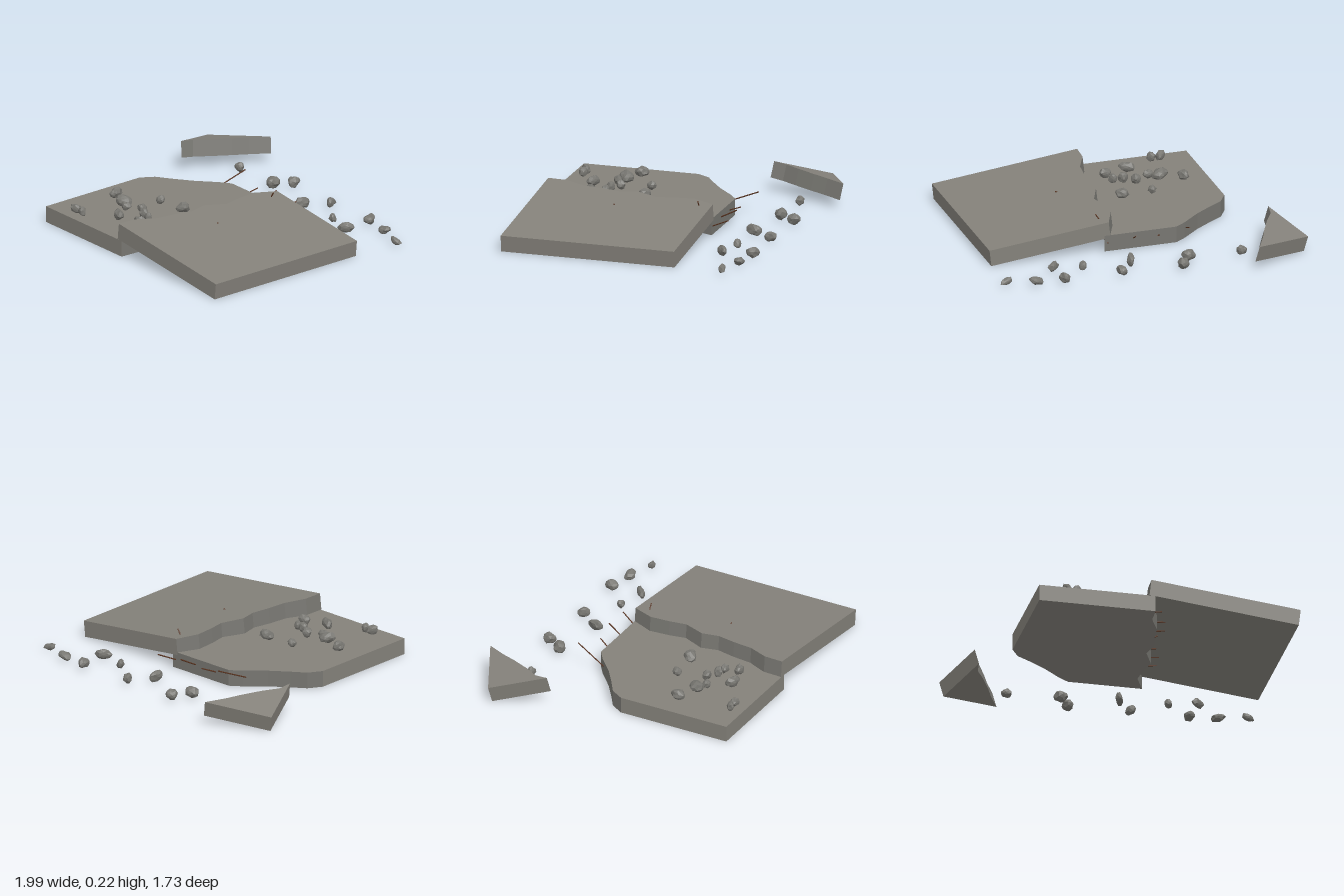
import * as THREE from 'three';

const concrete = new THREE.MeshStandardMaterial({ color: 0x84817a });
concrete.name = 'concrete';
const brokenConcrete = new THREE.MeshStandardMaterial({ color: 0x777671 });
brokenConcrete.name = 'broken concrete';
const rust = new THREE.MeshStandardMaterial({ color: 0x5a3420 });
rust.name = 'rusty steel';
brokenConcrete.flatShading = true;

// Prism from an [x, z] outline: the top follows top(x, z), the bottom is shifted by drop.
// Side walls whose two ends both lie in the broken list get the broken colour.
function slab(name, outline, broken, top, drop) {
  const shape = new THREE.Shape(outline.map(([x, z]) => new THREE.Vector2(x, -z)));
  const geo = new THREE.ExtrudeGeometry(shape, { depth: 1, bevelEnabled: false });
  geo.rotateX(-Math.PI / 2);
  const pos = geo.attributes.position;
  const isBroken = (i) => broken.some(([x, z]) => Math.hypot(pos.getX(i) - x, pos.getZ(i) - z) < 1e-4);
  const walls = geo.groups[1];
  geo.clearGroups();
  geo.addGroup(0, walls.start, 0);
  for (let i = walls.start; i < pos.count; i += 6) {
    const rough = [0, 1, 2, 3, 4, 5].every((k) => isBroken(i + k));
    geo.addGroup(i, 6, rough ? 1 : 0);
  }
  for (let i = 0; i < pos.count; i++) {
    const x = pos.getX(i), z = pos.getZ(i), down = 1 - pos.getY(i);
    pos.setXYZ(i, x + drop[0] * down, top(x, z) + drop[1] * down, z + drop[2] * down);
  }
  geo.computeVertexNormals();
  const mesh = new THREE.Mesh(geo, [concrete, brokenConcrete]);
  mesh.name = name;
  return mesh;
}

// Angular stone with its lowest point on the given floor height
function stone([x, z, rx, ry, rz, yaw], floor, seed) {
  const geo = new THREE.IcosahedronGeometry(1, 1);
  const pos = geo.attributes.position;
  const v = new THREE.Vector3();
  for (let i = 0; i < pos.count; i++) {
    v.fromBufferAttribute(pos, i);
    const key = Math.round(v.x * 50) * 1.7 + Math.round(v.y * 50) * 2.3 + Math.round(v.z * 50) * 3.1;
    v.multiplyScalar(0.98 + 0.15 * Math.sin(key + seed * 5.3));
    pos.setXYZ(i, v.x, v.y, v.z);
  }
  geo.scale(rx, ry, rz);
  geo.rotateZ(0.3 * Math.sin(seed * 2.1));
  geo.rotateY(yaw);
  geo.computeVertexNormals();
  geo.computeBoundingBox();
  const mesh = new THREE.Mesh(geo, brokenConcrete);
  mesh.position.set(x, floor - geo.boundingBox.min.y, z);
  mesh.name = 'stone';
  return mesh;
}

// Thin round bar between two points
function bar(from, to) {
  const a = new THREE.Vector3(...from), b = new THREE.Vector3(...to);
  const mesh = new THREE.Mesh(new THREE.CylinderGeometry(0.004, 0.004, a.distanceTo(b), 6), rust);
  mesh.position.copy(a).add(b).multiplyScalar(0.5);
  mesh.quaternion.setFromUnitVectors(new THREE.Vector3(0, 1, 0), b.sub(a).normalize());
  mesh.name = 'reinforcingBar';
  return mesh;
}

export function createModel() {
  const model = new THREE.Group();
  model.name = 'brokenSlab';

  // Crack line, back to front
  const crack = [[0.175, -0.27], [0.115, -0.13], [0.125, 0], [0.145, 0.11], [0.085, 0.25],
    [0.11, 0.36], [0.085, 0.48], [0.07, 0.61], [0.01, 0.74], [0.004, 0.865]];

  // Flat half with its broken corner
  const lowerCrack = crack.map(([x, z]) => [x + 0.027, z]);
  const corner = [[-0.712, 0.115], [-0.66, 0.03], [-0.57, -0.03], [-0.46, -0.11], [-0.34, -0.22], [-0.27, -0.27]];
  const lower = slab('flatSlab', [[-0.712, 0.865], ...corner, ...lowerCrack], [...lowerCrack, ...corner],
    () => 0.105, [0, -0.105, 0]);
  model.add(lower);

  // Tilted half, resting on the crack edge
  model.add(slab('tiltedSlab', [...crack, [0.957, 0.865], [0.957, -0.27]], crack,
    (x) => 0.213 - 0.113 * x, [-0.012, -0.105, 0]));

  // Corner piece lying behind
  const chipEdge = [[-0.617, -0.865], [-0.68, -0.74], [-0.722, -0.64], [-0.78, -0.52], [-0.838, -0.42], [-0.85, -0.335]];
  model.add(slab('cornerPiece', [[-1, -0.67], ...chipEdge], chipEdge,
    (x, z) => 0.101 + 0.233 * (x + 1) + 0.165 * (z + 0.67), [0.023, -0.101, 0.016]));

  // Stones: x, z, half sizes, yaw
  const slabStones = [
    [-0.55, 0.435, 0.032, 0.034, 0.045, 0.2], [-0.41, 0.485, 0.052, 0.036, 0.045, 0.3],
    [-0.345, 0.52, 0.034, 0.028, 0.026, 0.1], [-0.25, 0.47, 0.03, 0.032, 0.03, 0.6],
    [-0.18, 0.515, 0.03, 0.035, 0.03, 0.9], [-0.12, 0.53, 0.03, 0.03, 0.024, -0.2],
    [-0.095, 0.27, 0.045, 0.032, 0.04, 0.3], [-0.295, 0.285, 0.025, 0.03, 0.028, 0.5],
    [-0.25, 0.655, 0.05, 0.034, 0.029, -0.5], [-0.095, 0.615, 0.041, 0.032, 0.029, 0.2],
    [-0.515, 0.785, 0.04, 0.03, 0.024, 0.8], [-0.455, 0.785, 0.031, 0.03, 0.025, -0.2],
  ];
  const groundStones = [
    [-0.59, -0.59, 0.032, 0.032, 0.027, -0.3], [-0.245, -0.58, 0.042, 0.04, 0.039, 0.1],
    [-0.175, -0.69, 0.035, 0.036, 0.042, 0.3], [0.22, -0.665, 0.027, 0.032, 0.041, 0.4],
    [0.115, -0.52, 0.026, 0.037, 0.053, -0.3], [0.425, -0.51, 0.024, 0.03, 0.025, 0.3],
    [0.595, -0.665, 0.032, 0.034, 0.043, 0.3], [0.605, -0.47, 0.05, 0.034, 0.022, 0.7],
    [0.775, -0.64, 0.045, 0.026, 0.034, -0.1], [0.953, -0.585, 0.043, 0.022, 0.022, 0.2],
  ];
  const rubble = new THREE.Group();
  rubble.name = 'rubble';
  slabStones.forEach((s, i) => rubble.add(stone(s, 0.103, i + 1)));
  groundStones.forEach((s, i) => rubble.add(stone(s, 0, i + 20)));
  model.add(rubble);

  // Bars sticking out of the back edge and across the crack
  const bars = new THREE.Group();
  bars.name = 'reinforcingBars';
  const ends = [
    [[-0.36, 0.05, -0.18], [-0.31, 0.15, -0.41]], [[-0.17, 0.05, -0.24], [-0.12, 0.1, -0.355]],
    [[0.005, 0.05, -0.24], [0.033, 0.125, -0.38]], [[0.17, 0.04, -0.24], [0.222, 0.11, -0.385]],
    [[0.12, 0.05, -0.19], [0.235, 0.222, -0.19]], [[0.1, 0.05, 0.33], [0.325, 0.181, 0.33]],
    [[0.1, 0.05, -0.06], [0.25, 0.075, -0.07]], [[0.1, 0.055, 0.06], [0.23, 0.06, 0.08]],
    [[0.08, 0.05, 0.2], [0.19, 0.07, 0.18]], [[0.07, 0.05, 0.45], [0.18, 0.06, 0.47]],
    [[0.05, 0.055, 0.59], [0.16, 0.07, 0.57]], [[0.01, 0.05, 0.73], [0.1, 0.06, 0.74]],
  ];
  ends.forEach(([a, b]) => bars.add(bar(a, b)));
  model.add(bars);

  return model;
}
